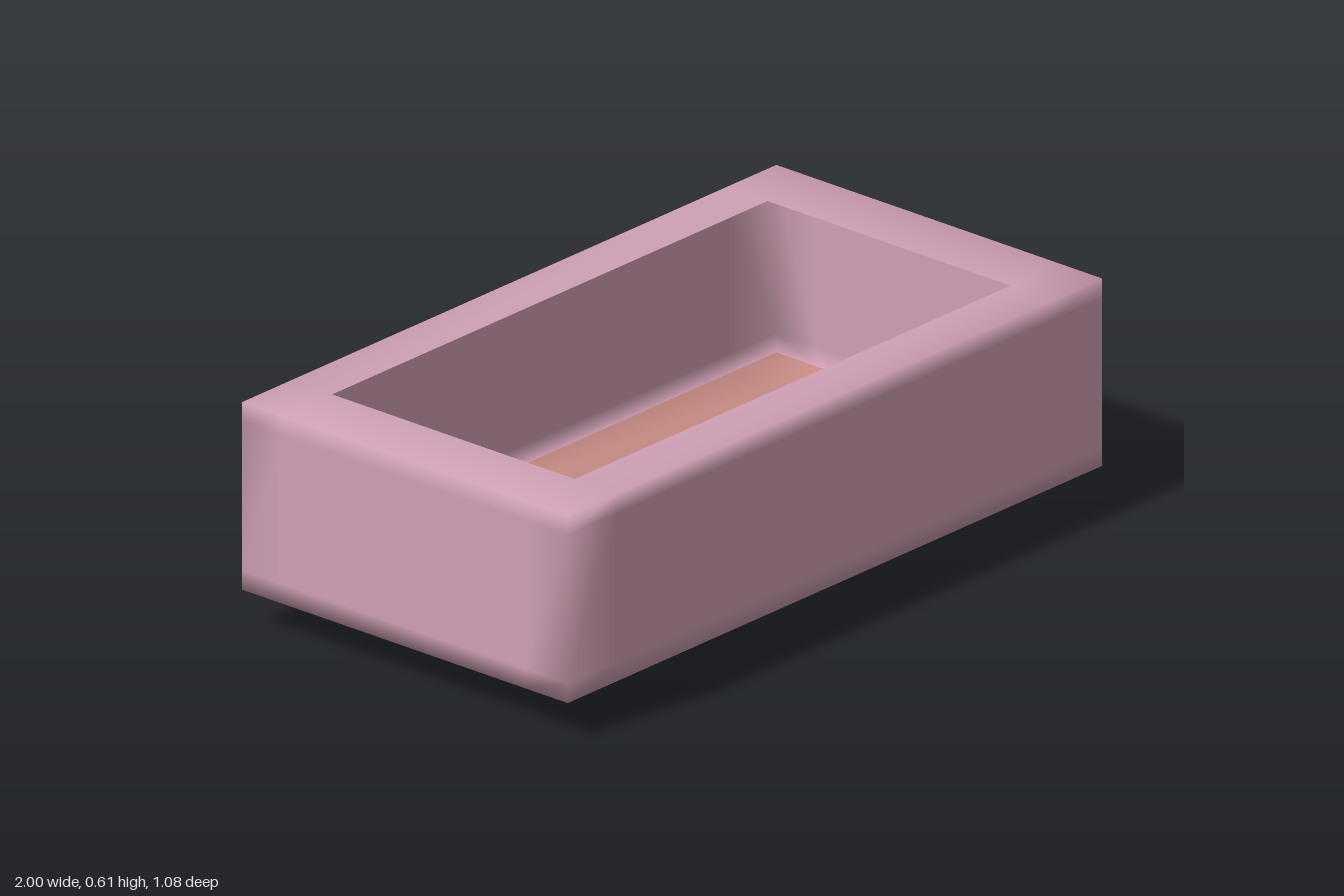
import * as THREE from 'three';
import { mergeVertices } from 'three/addons/utils/BufferGeometryUtils.js';

const mat = (name, color, side = THREE.FrontSide) => {
  const m = new THREE.MeshStandardMaterial({ color, side });
  m.name = name;
  return m;
};

export function createModel() {
  const pink = mat('pink wall', 0xcfa0b4, THREE.DoubleSide);
  const salmon = mat('salmon floor', 0xc68a83, THREE.DoubleSide);
  const teal = mat('teal table', 0x76acc2);
  const paleBlue = mat('pale blue', 0xa5b2cf);
  const mauve = mat('mauve shelf', 0x8f6570);
  const red = mat('red dots', 0xb8685e);

  const model = new THREE.Group();
  model.name = 'openRoom';
  const add = (name, geo, material, x = 0, y = 0, z = 0, parent = model) => {
    const mesh = new THREE.Mesh(geo, material);
    mesh.name = name;
    mesh.position.set(x, y, z);
    parent.add(mesh);
    return mesh;
  };
  const group = (name) => {
    const g = new THREE.Group();
    g.name = name;
    model.add(g);
    return g;
  };

  // Thin shell: box with edge loops, an opening in the top and soft normals
  const box = new THREE.BoxGeometry(2, 2, 2, 3, 3, 3);
  const p = box.attributes.position;
  const pick = (v, loops) => loops[Math.round((v + 1) * 1.5)];
  for (let i = 0; i < p.count; i++) {
    p.setXYZ(i,
      pick(p.getX(i), [-1, -0.815, 0.815, 1]),
      pick(p.getY(i), [0.102, 0.155, 0.555, 0.608]),
      pick(p.getZ(i), [-0.54, -0.405, 0.4, 0.54]));
  }
  const index = Array.from(box.index.array);
  index.splice(108 + 24, 6);
  box.setIndex(index);
  box.deleteAttribute('normal');
  box.deleteAttribute('uv');
  box.clearGroups();
  const shell = mergeVertices(box);
  shell.computeVertexNormals();
  shell.clearGroups();
  shell.addGroup(0, 156, 0);
  shell.addGroup(156, 54, 1);
  shell.addGroup(210, 108, 0);
  add('wallsAndFloor', shell, [pink, salmon]);

  // Panel on the inside of the end wall
  add('wallPanel', new THREE.BoxGeometry(0.008, 0.4, 0.4), paleBlue, -0.992, 0.33, 0.03);

  // Pedestal table with a chamfered top
  const table = group('table');
  table.position.set(-0.373, 0, 0.03);
  const octagon = (w, d, c) => {
    const s = new THREE.Shape();
    [[w - c, d], [c - w, d], [-w, d - c], [-w, c - d], [c - w, -d], [w - c, -d], [w, c - d], [w, d - c]]
      .forEach(([x, y], i) => (i ? s.lineTo(x, y) : s.moveTo(x, y)));
    return s;
  };
  const slab = (shape, depth) =>
    new THREE.ExtrudeGeometry(shape, { depth, bevelEnabled: false }).rotateX(-Math.PI / 2);
  add('tableBase', new THREE.CylinderGeometry(0.085, 0.092, 0.022, 32), teal, 0, 0.109, 0, table);
  add('tableColumn', new THREE.CylinderGeometry(0.03, 0.04, 0.12, 24), teal, 0, 0.18, 0, table);
  add('tableTop', slab(octagon(0.076, 0.142, 0.03), 0.025), teal, 0, 0.235, 0, table);
  const rim = octagon(0.076, 0.142, 0.03);
  rim.holes.push(octagon(0.066, 0.13, 0.015));
  add('tableRim', slab(rim, 0.01), teal, 0, 0.26, 0, table);
  for (let i = 0; i < 3; i++) {
    for (let j = 0; j < 4; j++) {
      add('dot', new THREE.SphereGeometry(0.009, 12, 8), red,
        (i - 1) * 0.037, 0.262, -0.078 + j * 0.056 + (i === 1 ? 0.004 : 0), table);
    }
  }

  // Round vase with an egg-shaped body reaching below the floor
  const profile = [];
  for (let i = 0; i <= 20; i++) {
    const a = -Math.PI / 2 + (i / 20) * 2.68;
    profile.push(new THREE.Vector2(0.067 * Math.max(Math.cos(a), 0), 0.1 + 0.1 * Math.sin(a)));
  }
  profile.push(new THREE.Vector2(0.022, 0.21), new THREE.Vector2(0.028, 0.225),
    new THREE.Vector2(0.028, 0.235), new THREE.Vector2(0, 0.237));
  add('vase', new THREE.LatheGeometry(profile, 36), paleBlue, 0.125, 0, 0.03);

  // Shelf unit along the front wall, with wavy boards and six uprights
  const shelf = group('shelf');
  const edge = (x) => 0.42 - 0.011 * (1 + Math.cos((x - 0.1) * 2 * Math.PI / 0.45));
  const board = new THREE.Shape();
  board.moveTo(0.25, -0.495);
  board.lineTo(-0.465, -0.495);
  for (let i = 0; i <= 24; i++) {
    const x = -0.465 + (0.715 * i) / 24;
    board.lineTo(x, -edge(x));
  }
  for (let i = 0; i < 5; i++) {
    add('shelfBoard', slab(board, 0.009), mauve, 0, 0.112 + i * 0.041, 0, shelf);
  }
  for (const x of [-0.45, -0.305, -0.17, -0.045, 0.1, 0.243]) {
    add('shelfUpright', new THREE.BoxGeometry(0.012, 0.205, 0.075), mauve, x, 0.1785, 0.4575, shelf);
  }
  add('shelfBack', new THREE.PlaneGeometry(0.7, 0.205), mauve, -0.105, 0.1785, 0.493, shelf);

  return model;
}
